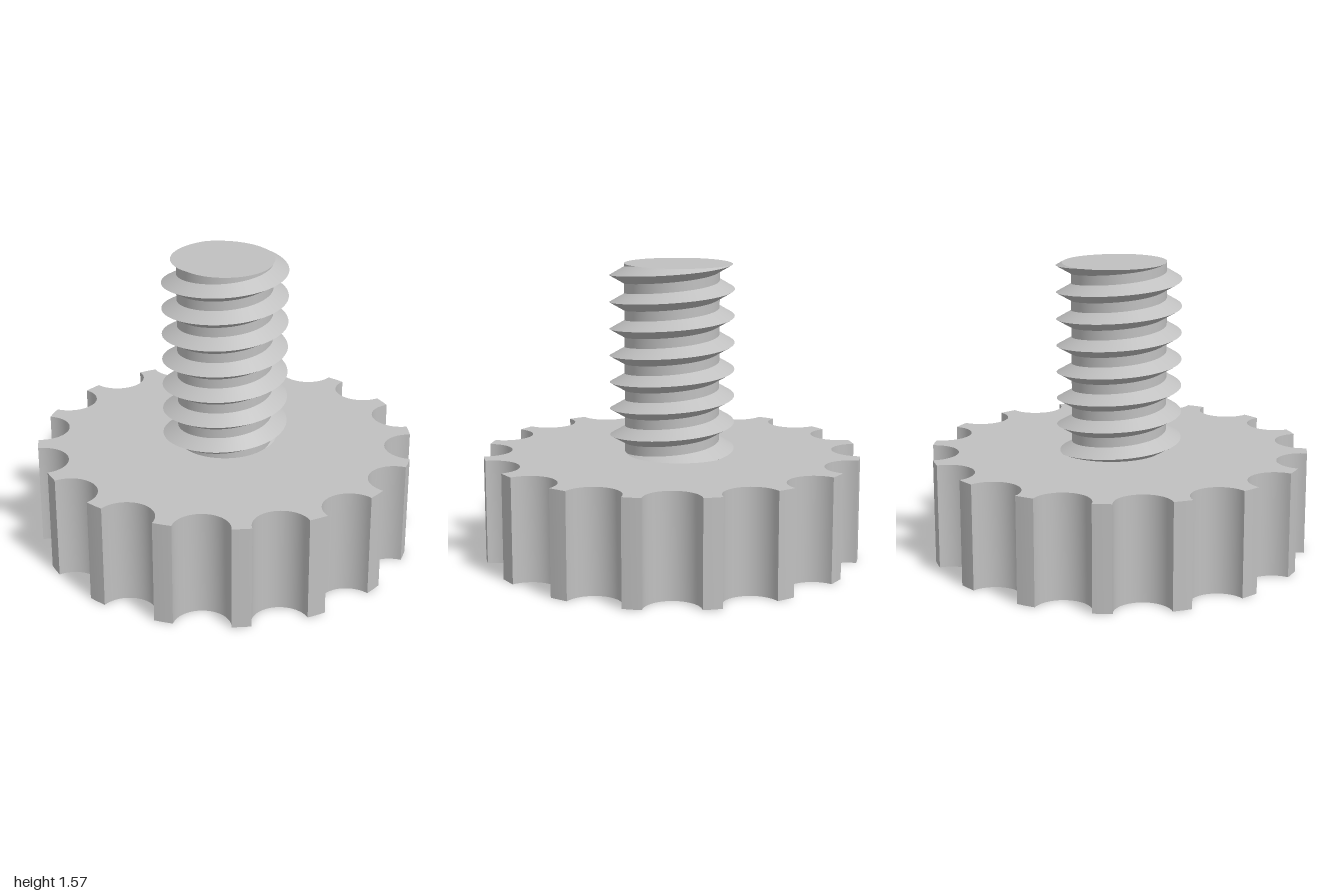
import * as THREE from 'three';
import { toCreasedNormals } from 'three/addons/utils/BufferGeometryUtils.js';

const steel = new THREE.MeshStandardMaterial({ color: 0xc0c0c0 });
steel.name = 'grey steel';

// Round knob with scalloped grip notches
function knobGeometry(radius, height, notchRadius, count) {
  const beta = Math.asin(notchRadius / (2 * radius)); // notch circles are centred on the rim
  const sweep = Math.PI / 2 + beta;
  const pitch = (2 * Math.PI) / count;
  const pts = [];
  for (let i = 0; i < count; i++) {
    const a = i * pitch;
    const cx = radius * Math.cos(a), cy = radius * Math.sin(a);
    // concave notch, then the rim up to the next notch
    for (let j = 0; j <= 24; j++) {
      const t = a - sweep - (2 * Math.PI - 2 * sweep) * (j / 24);
      pts.push(new THREE.Vector2(cx + notchRadius * Math.cos(t), cy + notchRadius * Math.sin(t)));
    }
    for (let j = 1; j < 4; j++) {
      const t = a + 2 * beta + (pitch - 4 * beta) * (j / 4);
      pts.push(new THREE.Vector2(radius * Math.cos(t), radius * Math.sin(t)));
    }
  }
  const geo = new THREE.ExtrudeGeometry(new THREE.Shape(pts), { depth: height, bevelEnabled: false });
  geo.rotateX(-Math.PI / 2);
  return toCreasedNormals(geo, 0.5);
}

// Right-handed V thread, trimmed flat at both ends
function threadGeometry({ root, crest, pitch, half, start, bottom, top, segments }) {
  const helix = (theta) => start + (pitch * theta) / (2 * Math.PI);
  const point = (theta, y) => {
    const yy = THREE.MathUtils.clamp(y, bottom, top);
    const d = THREE.MathUtils.euclideanModulo(yy - helix(theta) + pitch / 2, pitch) - pitch / 2;
    const r = root + (crest - root) * Math.max(0, 1 - Math.abs(d) / half);
    return new THREE.Vector3(r * Math.cos(theta), yy, -r * Math.sin(theta));
  };
  // knots of the tooth profile, repeated along the shaft
  const knots = [];
  const turns = Math.ceil((top - bottom) / pitch) + 1;
  for (let k = -2; k <= turns; k++) knots.push(k * pitch - half, k * pitch, k * pitch + half);

  const pos = [];
  const tri = (a, b, c) => {
    if (new THREE.Triangle(a, b, c).getArea() > 1e-9) {
      for (const p of [a, b, c]) pos.push(p.x, p.y, p.z);
    }
  };
  const centre = new THREE.Vector3(0, top, 0);
  for (let i = 0; i < segments; i++) {
    const t0 = (i / segments) * 2 * Math.PI, t1 = ((i + 1) / segments) * 2 * Math.PI;
    for (let j = 0; j < knots.length - 1; j++) {
      const a = point(t0, helix(t0) + knots[j]), b = point(t1, helix(t1) + knots[j]);
      const c = point(t1, helix(t1) + knots[j + 1]), d = point(t0, helix(t0) + knots[j + 1]);
      tri(a, b, c);
      tri(a, c, d);
    }
    tri(centre, point(t0, top), point(t1, top)); // flat end
  }
  const geo = new THREE.BufferGeometry();
  geo.setAttribute('position', new THREE.Float32BufferAttribute(pos, 3));
  return toCreasedNormals(geo, 0.5);
}

export function createModel() {
  const group = new THREE.Group();
  group.name = 'thumbScrew';

  const knob = new THREE.Mesh(knobGeometry(1.01, 0.56, 0.148, 16), steel);
  knob.name = 'knob';

  const shaft = new THREE.Mesh(threadGeometry({
    root: 0.253, crest: 0.333, pitch: 0.1433, half: 0.046,
    start: 0.668, bottom: 0.555, top: 1.573, segments: 96,
  }), steel);
  shaft.name = 'threadedShaft';

  group.add(knob, shaft);
  return group;
}
